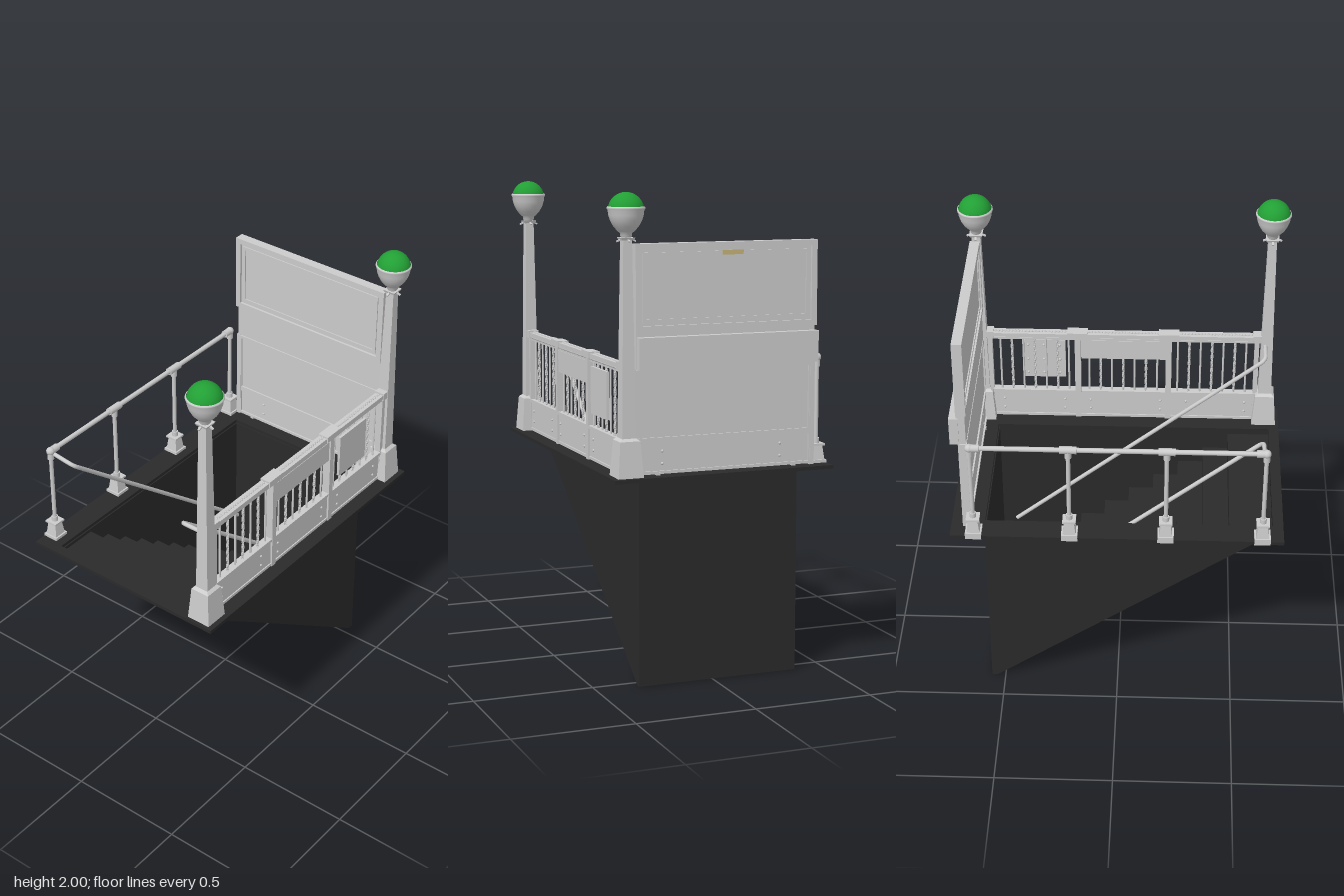
import * as THREE from 'three';
import { mergeGeometries } from 'three/addons/utils/BufferGeometryUtils.js';

const grey = new THREE.MeshStandardMaterial({ color: 0xcccccc });
const greyFlat = new THREE.MeshStandardMaterial({ color: 0xcccccc, flatShading: true });
const dark = new THREE.MeshStandardMaterial({ color: 0x2a2a2a, side: THREE.DoubleSide });
const green = new THREE.MeshStandardMaterial({ color: 0x22a035 });
const yellow = new THREE.MeshStandardMaterial({ color: 0xc8b478 });

const V = (x, y, z) => new THREE.Vector3(x, y, z);

function add(parent, name, geometry, material = grey) {
  const mesh = new THREE.Mesh(geometry, material);
  mesh.name = name;
  parent.add(mesh);
  return mesh;
}
function group(parent, name) {
  const g = new THREE.Group();
  g.name = name;
  parent.add(g);
  return g;
}
// Box given by its minimum and maximum corners
function span(x0, x1, y0, y1, z0, z1) {
  return new THREE.BoxGeometry(x1 - x0, y1 - y0, z1 - z0)
    .translate((x0 + x1) / 2, (y0 + y1) / 2, (z0 + z1) / 2);
}
// Square tapered block standing at (x, y0, z); b and t are half widths
function taper(x, z, y0, y1, b, t) {
  return new THREE.CylinderGeometry(t * Math.SQRT2, b * Math.SQRT2, y1 - y0, 4)
    .rotateY(Math.PI / 4).translate(x, (y0 + y1) / 2, z);
}
function rod(x, z, y0, y1, r, sides = 12) {
  return new THREE.CylinderGeometry(r, r, y1 - y0, sides).translate(x, (y0 + y1) / 2, z);
}
// Pipe through corner points with rounded bends
function pipe(points, r, bend = 0.03) {
  const path = new THREE.CurvePath();
  let from = points[0];
  for (let i = 1; i < points.length - 1; i++) {
    const p = points[i];
    const a = p.clone().add(points[i - 1].clone().sub(p).setLength(bend));
    const b = p.clone().add(points[i + 1].clone().sub(p).setLength(bend));
    path.add(new THREE.LineCurve3(from, a));
    path.add(new THREE.QuadraticBezierCurve3(a, p, b));
    from = b;
  }
  path.add(new THREE.LineCurve3(from, points[points.length - 1]));
  return new THREE.TubeGeometry(path, 120, r, 10);
}
// Rectangular frame in the xy plane, centred on z = 0
function frame(w, h, border, depth) {
  const s = new THREE.Shape([[-w, -h], [w, -h], [w, h], [-w, h]].map(([x, y]) => new THREE.Vector2(x / 2, y / 2)));
  const a = w / 2 - border, b = h / 2 - border;
  s.holes.push(new THREE.Path([[-a, -b], [-a, b], [a, b], [a, -b]].map(([x, y]) => new THREE.Vector2(x, y))));
  return new THREE.ExtrudeGeometry(s, { depth, bevelEnabled: false }).translate(0, 0, -depth / 2);
}
function rivet(x, y, z) {
  return new THREE.SphereGeometry(0.006, 8, 6).translate(x, y, z);
}

function buildStairwell(root) {
  const g = group(root, 'stairwell');
  // Slab with the stair opening
  const slab = new THREE.Shape([[-0.695, -0.47], [0.695, -0.47], [0.695, 0.475], [-0.695, 0.475]].map(p => new THREE.Vector2(...p)));
  slab.holes.push(new THREE.Path([[-0.65, -0.31], [-0.65, 0.37], [0.555, 0.37], [0.555, -0.31]].map(p => new THREE.Vector2(...p))));
  add(g, 'pavementSlab', new THREE.ExtrudeGeometry(slab, { depth: 0.015, bevelEnabled: false })
    .rotateX(-Math.PI / 2).translate(0, 0.87, 0), dark);
  // Sloping side walls and end wall
  const side = new THREE.Shape([[-0.65, 0.87], [-0.65, 0.845], [0.535, 0], [0.56, 0], [0.56, 0.87]].map(p => new THREE.Vector2(...p)));
  for (const z of [-0.375, 0.31]) {
    add(g, 'sideWall', new THREE.ExtrudeGeometry(side, { depth: 0.01, bevelEnabled: false }).translate(0, 0, z), dark);
  }
  add(g, 'endWall', span(0.55, 0.56, 0, 0.87, -0.375, 0.32), dark);
  // Steps over a straight sloping underside
  const pts = [[-0.65, 0.845], [-0.65, 0.855]];
  for (let i = 0; i < 10; i++) {
    const x = -0.47 + i * 0.11, y = 0.855 - i * 0.079;
    pts.push([x, y], [x, y - 0.079]);
  }
  pts.push([0.555, 0.065], [0.555, 0], [0.535, 0]);
  add(g, 'steps', new THREE.ExtrudeGeometry(new THREE.Shape(pts.map(p => new THREE.Vector2(...p))),
    { depth: 0.685, bevelEnabled: false }).translate(0, 0, -0.37), dark);
}

function buildLampPost(root, x) {
  const g = group(root, 'lampPost');
  g.position.set(x, 0, 0.395);
  add(g, 'postBase', taper(0, 0, 0.885, 1.03, 0.053, 0.042), greyFlat);
  add(g, 'postBaseCap', taper(0, 0, 1.03, 1.04, 0.042, 0.03), greyFlat);
  add(g, 'postShaft', taper(0, 0, 1.035, 1.82, 0.029, 0.018), greyFlat);
  add(g, 'postCollar', taper(0, 0, 1.815, 1.825, 0.024, 0.028), greyFlat);
  // Four little brackets below the globe
  for (let i = 0; i < 4; i++) {
    const b = add(g, 'bracket', new THREE.BoxGeometry(0.026, 0.006, 0.008));
    const a = i * Math.PI / 2;
    b.position.set(Math.cos(a) * 0.028, 1.815, -Math.sin(a) * 0.028);
    b.rotation.set(0, a, -0.4, 'YXZ');
  }
  const profile = [[0.016, 1.82], [0.024, 1.832], [0.024, 1.842], [0.034, 1.85], [0.05, 1.868], [0.062, 1.89],
    [0.069, 1.912], [0.071, 1.93], [0.075, 1.936], [0.075, 1.942], [0.07, 1.945]];
  add(g, 'lampBowl', new THREE.LatheGeometry(profile.map(p => new THREE.Vector2(...p)), 32));
  add(g, 'lampGlobe', new THREE.SphereGeometry(0.071, 32, 14, 0, Math.PI * 2, 0, Math.PI * 0.44).translate(0, 1.929, 0), green);
}

function twistedBar(x, z, y0, y1) {
  const geo = new THREE.BoxGeometry(0.009, y1 - y0, 0.009, 1, 28, 1);
  const p = geo.attributes.position;
  for (let i = 0; i < p.count; i++) {
    const v = V(0, 0, 0).fromBufferAttribute(p, i);
    v.applyAxisAngle(V(0, 1, 0), v.y * 45);
    p.setXYZ(i, v.x, v.y, v.z);
  }
  return geo.translate(x, (y0 + y1) / 2, z);
}

function buildFrontBarrier(root) {
  const g = group(root, 'frontBarrier');
  const z = 0.395;
  add(g, 'kickPanel', span(-0.59, 0.59, 0.895, 1.02, z - 0.01, z + 0.01));
  add(g, 'panelTopRail', span(-0.59, 0.59, 1.015, 1.028, z - 0.017, z + 0.017));
  add(g, 'panelBottomRail', span(-0.59, 0.59, 0.888, 0.9, z - 0.015, z + 0.015));
  add(g, 'balusterRail', span(-0.6, 0.6, 1.294, 1.304, z - 0.01, z + 0.01));
  add(g, 'topRail', span(-0.6, 0.6, 1.312, 1.33, z - 0.02, z + 0.02));
  for (const x of [-0.2, 0.2]) {
    add(g, 'dividerPost', span(x - 0.013, x + 0.013, 0.885, 1.32, z - 0.018, z + 0.018));
    add(g, 'railSleeve', span(x - 0.045, x + 0.045, 1.31, 1.337, z - 0.024, z + 0.024));
  }
  for (const x of [-0.585, 0.585]) {
    add(g, 'railEnd', span(x - 0.018, x + 0.018, 1.305, 1.338, z - 0.023, z + 0.023));
    add(g, 'endUpright', span(x - 0.01, x + 0.01, 0.885, 1.31, z - 0.014, z + 0.014));
  }
  // Beads along the top and front of the rail
  const beads = [];
  for (let i = 0; i < 78; i++) {
    const x = -0.56 + i * 1.12 / 77;
    beads.push(new THREE.SphereGeometry(0.006, 6, 4).translate(x, 1.33, z));
    beads.push(new THREE.SphereGeometry(0.005, 6, 4).translate(x, 1.307, z + 0.01));
  }
  add(g, 'railBeads', mergeGeometries(beads));
  // Plain and twisted balusters alternate
  const bars = [];
  for (const cx of [-0.39, 0, 0.39]) {
    for (let i = -3; i <= 3; i++) {
      const x = cx + i * 0.05;
      bars.push(i % 2 ? rod(x, z, 1.02, 1.3, 0.0045, 8) : twistedBar(x, z, 1.02, 1.3));
    }
  }
  add(g, 'balusters', mergeGeometries(bars), greyFlat);
  const rivets = [];
  for (const x of [-0.54, -0.28, -0.165, 0.145, 0.26, 0.53])
    for (const y of [0.93, 0.977]) for (const s of [-1, 1]) rivets.push(rivet(x, y, z + s * 0.01));
  add(g, 'rivets', mergeGeometries(rivets));
  add(g, 'signPanel', span(-0.187, 0.185, 1.2, 1.294, z - 0.012, z + 0.012));
  // Square notice board with fixings on its rear
  add(g, 'noticeBoard', span(0.255, 0.445, 1.085, 1.28, z + 0.008, z + 0.02));
  const fixings = [];
  for (const x of [0.28, 0.35, 0.42]) for (const y of [1.11, 1.18, 1.255]) fixings.push(rivet(x, y, z + 0.007));
  add(g, 'noticeFixings', mergeGeometries(fixings));
}

function buildSideScreen(root) {
  const g = group(root, 'sideScreen');
  const x = 0.627, mid = -0.015;
  // Faces +x after the quarter turn
  const framed = (name, w, h, border, depth, y, zc) =>
    add(g, name, frame(w, h, border, depth).rotateY(Math.PI / 2).translate(x, y, zc));
  add(g, 'lowerPanel', span(x - 0.01, x + 0.01, 0.89, 1.31, -0.4, 0.37));
  framed('lowerPanelFrame', 0.765, 0.285, 0.014, 0.034, 1.165, mid);
  framed('kickPanelFrame', 0.765, 0.135, 0.012, 0.034, 0.957, mid);
  add(g, 'endUpright', span(x - 0.018, x + 0.018, 0.885, 1.31, -0.41, -0.39));
  add(g, 'middlePanel', span(x - 0.015, x + 0.02, 1.31, 1.46, -0.405, 0.365));
  add(g, 'lightBox', span(0.64, 0.678, 1.31, 1.437, -0.41, 0.362));
  // Framed display board
  add(g, 'displayBoard', span(x - 0.01, x + 0.01, 1.46, 1.79, -0.405, 0.355));
  framed('displayFrame', 0.78, 0.345, 0.024, 0.042, 1.6275, -0.025);
  framed('displayInnerFrame', 0.715, 0.275, 0.014, 0.03, 1.6275, -0.025);
  add(g, 'displayLabel', span(0.645, 0.65, 1.75, 1.768, -0.09, 0), yellow);
  const rivets = [];
  for (const z of [0.25, -0.26]) for (const y of [0.93, 0.98]) for (const s of [-1, 1]) rivets.push(rivet(x + s * 0.01, y, z));
  add(g, 'rivets', mergeGeometries(rivets));
  for (const z of [0.27, -0.32]) add(g, 'foot', span(x - 0.02, x + 0.02, 0.883, 0.897, z - 0.008, z + 0.008));
}

function buildBackRailing(root) {
  const g = group(root, 'backRailing');
  const z = -0.442, y = 1.318;
  for (const x of [-0.605, -0.203, 0.197, 0.597]) {
    add(g, 'pedestalPlate', taper(x, z, 0.868, 0.897, 0.034, 0.034), greyFlat);
    add(g, 'pedestal', taper(x, z, 0.897, 0.955, 0.027, 0.02), greyFlat);
    add(g, 'pedestalCap', taper(x, z, 0.955, 0.964, 0.028, 0.028), greyFlat);
    add(g, 'postSocket', rod(x, z, 0.964, 0.985, 0.014));
    add(g, 'railingPost', rod(x, z, 0.96, y, 0.009));
    add(g, 'postCollar', rod(x, z, 1.28, y, 0.014));
  }
  const along = (x, len, r) => new THREE.CylinderGeometry(r, r, len, 14).rotateZ(Math.PI / 2).translate(x, y, z);
  add(g, 'topPipe', along(-0.004, 1.2, 0.0105));
  for (const x of [-0.203, 0.197]) add(g, 'pipeSleeve', along(x, 0.07, 0.016));
  for (const x of [-0.605, 0.597]) {
    add(g, 'pipeElbow', new THREE.SphereGeometry(0.018, 14, 10).translate(x, y, z));
    add(g, 'elbowSleeve', along(x - Math.sign(x) * 0.02, 0.04, 0.016));
  }
}

function buildHandrails(root) {
  const g = group(root, 'stairHandrails');
  const slope = 0.82;
  add(g, 'backHandrail', pipe([V(-0.597, 1.305, -0.44), V(-0.597, 1.29, -0.325), V(0.51, 1.29 - 1.107 * slope, -0.325)], 0.009));
  add(g, 'frontHandrail', pipe([V(-0.62, 1.29, 0.39), V(-0.62, 1.29, 0.264), V(0.485, 1.29 - 1.105 * slope, 0.264)], 0.009));
}

export function createModel() {
  const root = new THREE.Group();
  root.name = 'subwayEntrance';
  buildStairwell(root);
  for (const x of [-0.628, 0.622]) buildLampPost(root, x);
  buildFrontBarrier(root);
  buildSideScreen(root);
  buildBackRailing(root);
  buildHandrails(root);
  return root;
}
